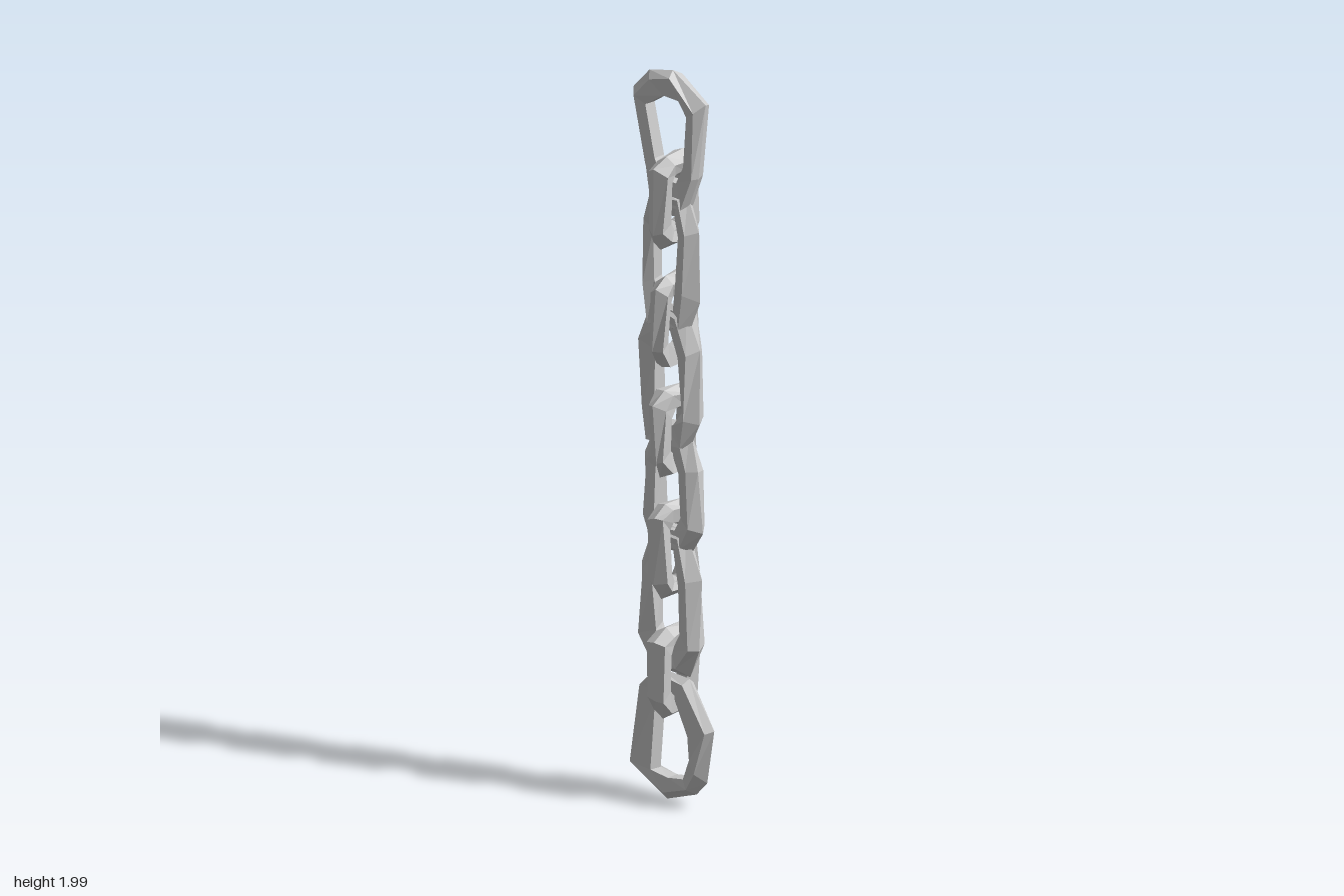
import * as THREE from 'three';

const material = new THREE.MeshStandardMaterial({ color: 0xcccccc, flatShading: true });

// Seeded wobble that gives the links their hand-hewn facets
let seed = 7;
function wobble(amount) {
  seed = (seed * 16807) % 2147483647;
  return (seed / 2147483647 - 0.5) * 2 * amount;
}

// Five-sided bar section: [blend from outer to inner outline, depth factor]
const section = [[0, 0], [0.3, 1], [1, 0.75], [1, -0.75], [0.3, -1]];

// Closed link swept between an outer and an inner outline (both counter-clockwise)
function linkGeometry(outer, inner, depth, rough) {
  const n = outer.length, m = section.length, positions = [], index = [];
  for (let i = 0; i < n; i++) {
    for (const [blend, d] of section) {
      const middle = blend > 0 && blend < 1 ? wobble(0.2) : 0;
      const k = blend + middle;
      positions.push(
        THREE.MathUtils.lerp(outer[i][0], inner[i][0], k) + wobble(rough),
        THREE.MathUtils.lerp(outer[i][1], inner[i][1], k) + wobble(rough),
        d * depth + wobble(rough)
      );
    }
  }
  for (let i = 0; i < n; i++) {
    for (let j = 0; j < m; j++) {
      const a = i * m + j, b = ((i + 1) % n) * m + j;
      const c = i * m + (j + 1) % m, d = ((i + 1) % n) * m + (j + 1) % m;
      index.push(a, b, c, b, d, c);
    }
  }
  const geometry = new THREE.BufferGeometry();
  geometry.setAttribute('position', new THREE.Float32BufferAttribute(positions, 3));
  geometry.setIndex(index);
  geometry.computeVertexNormals();
  return geometry;
}

// Eight-cornered link outline from its half widths and heights
function outline(wide, neckTop, neckBottom, top, shoulder, hip, bottom, shift = 0) {
  return [
    [wide, hip], [wide, shoulder], [neckTop, top], [-neckTop, top],
    [-wide, shoulder], [-wide, hip], [-neckBottom, bottom], [neckBottom, bottom]
  ].map(([x, y]) => [x + shift, y]);
}

export function createModel() {
  const chain = new THREE.Group();
  chain.name = 'chain';
  const add = (name, geometry) => {
    const mesh = new THREE.Mesh(geometry, material);
    mesh.name = name;
    chain.add(mesh);
    return mesh;
  };

  // Large end ring at the top
  add('topRing', linkGeometry(
    [[0.09, 1.72], [0.115, 1.93], [0, 2], [-0.08, 1.98], [-0.14, 1.92], [-0.1, 1.72], [-0.06, 1.63], [0.05, 1.63]],
    [[0.05, 1.75], [0.06, 1.89], [0.03, 1.93], [-0.02, 1.93], [-0.08, 1.89], [-0.05, 1.75], [-0.025, 1.7], [0.025, 1.7]],
    0.025, 0.003));

  // Links facing front: top, shoulder, hip, bottom, sideways shift
  const frontLinks = [
    [1.67, 1.58, 1.39, 1.29, -0.008],
    [1.36, 1.25, 1.05, 0.98, -0.005],
    [1.03, 0.93, 0.76, 0.69, -0.002],
    [0.76, 0.63, 0.44, 0.36, -0.007]
  ];
  for (const [top, shoulder, hip, bottom, shift] of frontLinks) {
    add('frontLink', linkGeometry(
      outline(0.097, 0.055, 0.06, top, shoulder, hip, bottom, shift),
      outline(0.043, 0.022, 0.022, top - 0.06, shoulder - 0.02, hip + 0.03, bottom + 0.06, shift),
      0.028, 0.006));
  }

  // Links turned a quarter: top, bottom
  const sideLinks = [[1.775, 1.525], [1.445, 1.2], [1.135, 0.9], [0.825, 0.565], [0.49, 0.245]];
  for (const [top, bottom] of sideLinks) {
    add('sideLink', linkGeometry(
      outline(0.073, 0.035, 0.045, top, top - 0.03, bottom + 0.045, bottom),
      outline(0.032, 0.018, 0.018, top - 0.05, top - 0.07, bottom + 0.07, bottom + 0.05),
      0.028, 0.005)).rotation.y = Math.PI / 2;
  }

  // Large end ring at the bottom, with a sharp corner on its left
  add('bottomRing', linkGeometry(
    [[0.115, 0.08], [0.14, 0.23], [0.055, 0.35], [-0.05, 0.36], [-0.1, 0.31], [-0.14, 0.09], [-0.02, 0.005], [0.08, 0.04]],
    [[0.07, 0.14], [0.065, 0.2], [0.025, 0.29], [-0.025, 0.3], [-0.045, 0.27], [-0.06, 0.08], [0, 0.07], [0.05, 0.08]],
    0.025, 0.003));

  return chain;
}
